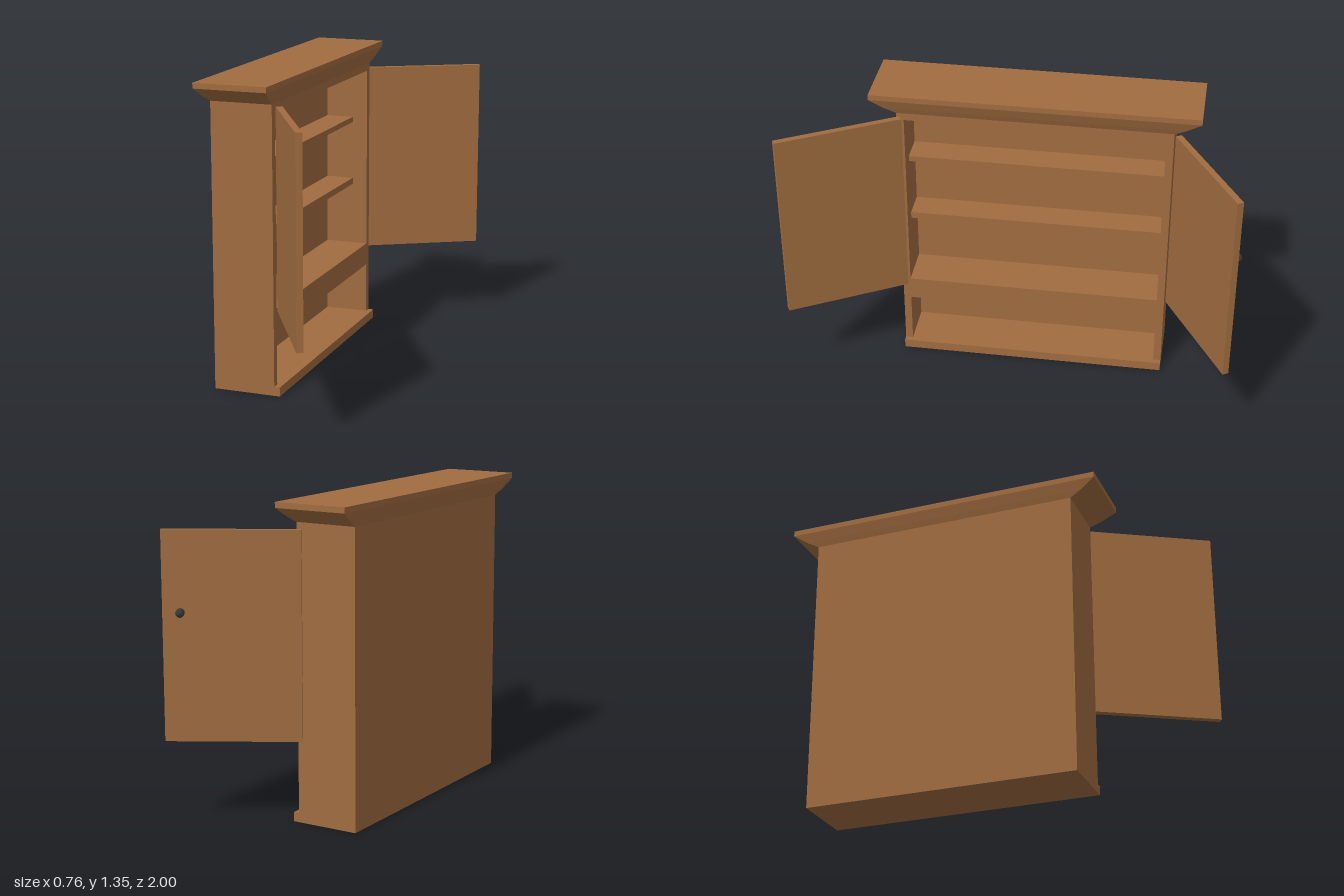
import * as THREE from 'three';

const wood = new THREE.MeshStandardMaterial({ color: 0xa06c40 });
const metal = new THREE.MeshStandardMaterial({ color: 0x383838 });
const CENTER_Z = -0.07; // cabinet centre along its width
const BACK = -0.355, FRONT = -0.08, RECESS = 0.2;

function add(parent, name, geometry, material = wood) {
  const mesh = new THREE.Mesh(geometry, material);
  mesh.name = name;
  parent.add(mesh);
  return mesh;
}

// Box given by its extents in x and y, centred on the cabinet width
function slab(parent, name, x0, x1, y0, y1, width) {
  const mesh = add(parent, name, new THREE.BoxGeometry(x1 - x0, y1 - y0, width));
  mesh.position.set((x0 + x1) / 2, (y0 + y1) / 2, CENTER_Z);
  return mesh;
}

function rect(path, halfWidth, y0, y1) {
  path.moveTo(-halfWidth, y0);
  path.lineTo(halfWidth, y0);
  path.lineTo(halfWidth, y1);
  path.lineTo(-halfWidth, y1);
  path.closePath();
  return path;
}

// Flared moulding: each level of a box gets its own height and overhang
function mouldingGeometry() {
  const levels = [[1.255, 0, 0], [1.28, 0.01, 0.05], [1.322, 0.025, 0.115]];
  const box = new THREE.BoxGeometry(1, 2, 1, 1, 2, 1);
  const p = box.attributes.position;
  for (let i = 0; i < p.count; i++) {
    const [y, outX, outZ] = levels[Math.round(p.getY(i) + 1)];
    p.setXYZ(i,
      (BACK + FRONT) / 2 + Math.sign(p.getX(i)) * ((FRONT - BACK) / 2 + outX),
      y,
      CENTER_Z + Math.sign(p.getZ(i)) * (0.6 + outZ));
  }
  const flat = box.toNonIndexed();
  flat.computeVertexNormals();
  return flat;
}

// Open door leaf, its long side turned about the vertical axis
function door(parent, name, x, y, z, degrees) {
  const group = new THREE.Group();
  group.name = name;
  group.position.set(x, y, z);
  group.rotation.y = THREE.MathUtils.degToRad(degrees);
  add(group, name + 'Panel', new THREE.BoxGeometry(0.562, 0.872, 0.028));
  parent.add(group);
  return group;
}

export function createModel() {
  const model = new THREE.Group();
  model.name = 'cabinet';

  // Carcass: thick back and a front frame with two openings
  slab(model, 'backPanel', BACK, FRONT - RECESS, 0, 1.257, 1.2);
  const outline = rect(new THREE.Shape(), 0.6, 0, 1.257);
  outline.holes.push(rect(new THREE.Path(), 0.567, 0.04, 0.275));
  outline.holes.push(rect(new THREE.Path(), 0.567, 0.38, 1.222));
  const frame = add(model, 'frame',
    new THREE.ExtrudeGeometry(outline, { depth: RECESS, bevelEnabled: false }));
  frame.rotation.y = Math.PI / 2;
  frame.position.set(FRONT - RECESS, 0, CENTER_Z);

  // Lip along the foot, and the shelves
  slab(model, 'footLip', FRONT, -0.055, 0, 0.04, 1.2);
  slab(model, 'lowerShelf', FRONT - RECESS, -0.15, 0.67, 0.7, 1.134);
  slab(model, 'upperShelf', FRONT - RECESS, -0.15, 0.972, 0.997, 1.134);

  // Crown
  add(model, 'crownMoulding', mouldingGeometry());
  slab(model, 'crownTop', -0.38, -0.055, 1.322, 1.346, 1.43);

  // Doors
  door(model, 'nearDoor', 0.083, 0.81, 0.75, -60);
  const farDoor = door(model, 'farDoor', 0.129, 0.793, -0.828, 30);

  // Knob on the outer face of the far door
  const profile = [[0, 0], [0.01, 0], [0.01, 0.022], [0.018, 0.026],
    [0.018, 0.046], [0.013, 0.056], [0, 0.058]]
    .map(([r, h]) => new THREE.Vector2(r, h));
  const knobGeometry = new THREE.LatheGeometry(profile, 16);
  const knob = add(farDoor, 'knob', knobGeometry, metal);
  knob.rotation.x = -Math.PI / 2;
  knob.position.set(0.204, 0.105, -0.014);

  return model;
}
